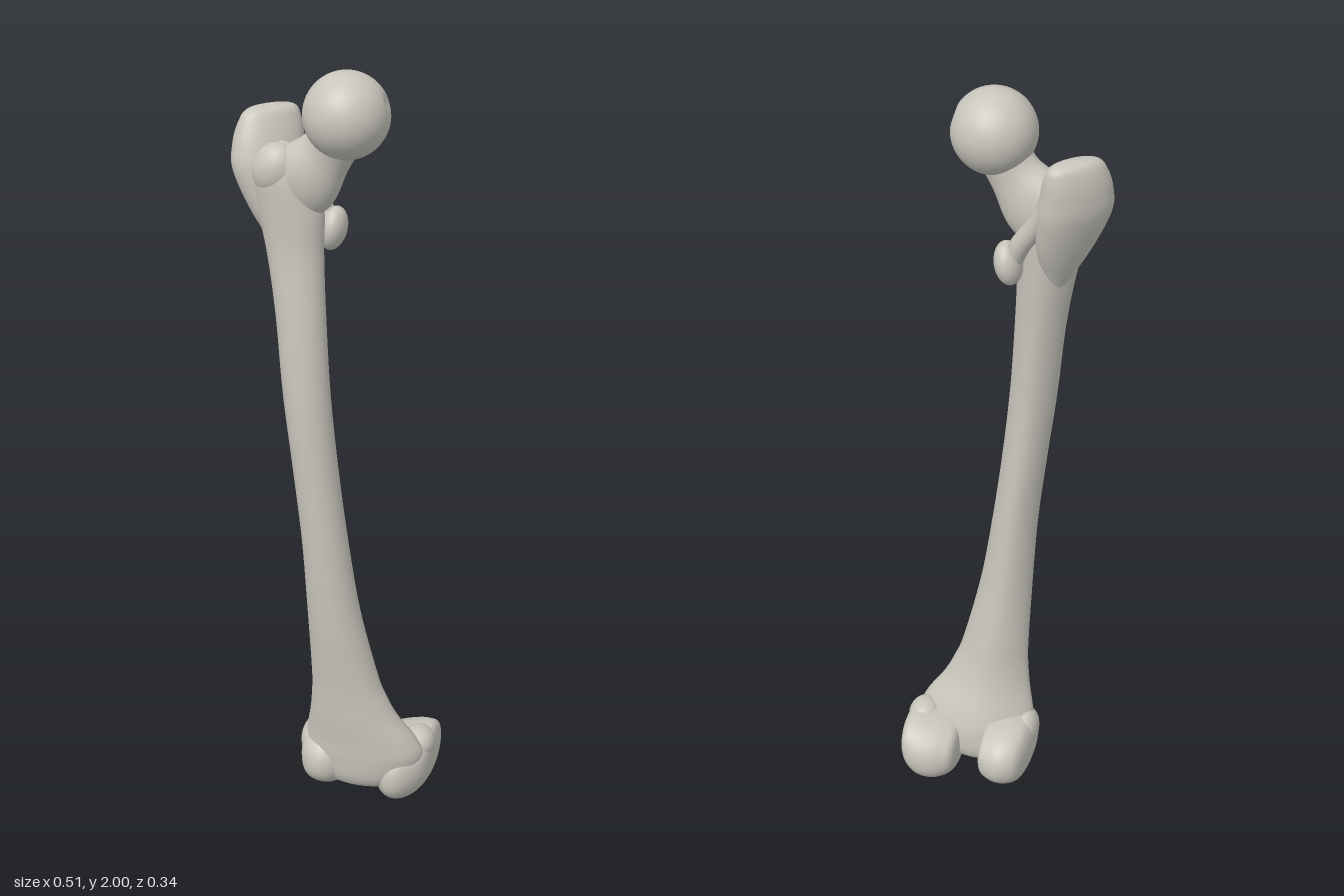
import * as THREE from 'three';
import { mergeVertices } from 'three/addons/utils/BufferGeometryUtils.js';

const bone = new THREE.MeshStandardMaterial({ color: 0xc8c5bc });
bone.name = 'bone';

// Smooth closed loft. Rows are [x, y, z, radius along u, radius along v]; u x v points along the rows.
// power squares the outline off; ridge pinches the -u side into a keel.
function loft(u, v, rows, { power = 2, ridge = 0, sides = 48, steps = 6 } = {}) {
  const centres = new THREE.CatmullRomCurve3(rows.map(r => new THREE.Vector3(r[0], r[1], r[2])), false, 'catmullrom');
  const sizes = new THREE.CatmullRomCurve3(rows.map(r => new THREE.Vector3(r[3], r[4], 0)), false, 'catmullrom');
  const count = (rows.length - 1) * steps;
  const positions = [], index = [];
  const round = t => Math.sign(t) * Math.abs(t) ** (2 / power);
  for (let i = 0; i <= count; i++) {
    const c = centres.getPoint(i / count), s = sizes.getPoint(i / count);
    for (let j = 0; j < sides; j++) {
      const a = (j / sides) * Math.PI * 2;
      const pinch = 1 - ridge * Math.max(0, -Math.cos(a));
      const p = c.clone()
        .addScaledVector(u, round(Math.cos(a)) * Math.max(s.x, 0.0005))
        .addScaledVector(v, round(Math.sin(a)) * Math.max(s.y, 0.0005) * pinch);
      positions.push(p.x, p.y, p.z);
      if (i < count) {
        const k = i * sides + j, n = i * sides + (j + 1) % sides;
        index.push(k, n, k + sides, n, n + sides, k + sides);
      }
    }
  }
  const g = new THREE.BufferGeometry();
  g.setAttribute('position', new THREE.Float32BufferAttribute(positions, 3));
  g.setIndex(index);
  g.computeVertexNormals();
  return g;
}

export function createModel() {
  const group = new THREE.Group();
  group.name = 'thighBone';
  const add = (name, geometry) => {
    const mesh = new THREE.Mesh(geometry, bone);
    mesh.name = name;
    group.add(mesh);
    return mesh;
  };
  const bump = (name, pos, radii, tilt = 0) => {
    const mesh = add(name, new THREE.SphereGeometry(1, 32, 24));
    mesh.position.set(...pos);
    mesh.scale.set(...radii);
    mesh.rotation.z = tilt;
  };
  const X = new THREE.Vector3(1, 0, 0), Y = new THREE.Vector3(0, 1, 0), Z = new THREE.Vector3(0, 0, 1);

  // Bowed shaft, flaring into the knee end, with a keel along its back
  add('shaft', loft(Z, X, [
    [0.06, 0.05, 0.0, 0.001, 0.001],
    [0.06, 0.057, 0.003, 0.06, 0.1],
    [0.065, 0.09, 0.005, 0.084, 0.14],
    [0.068, 0.15, 0.01, 0.088, 0.163],
    [0.064, 0.2, 0.018, 0.083, 0.153],
    [0.047, 0.27, 0.034, 0.073, 0.122],
    [0.036, 0.33, 0.043, 0.067, 0.104],
    [0.025, 0.4, 0.05, 0.065, 0.09],
    [0.0, 0.6, 0.068, 0.063, 0.07],
    [-0.02, 0.8, 0.077, 0.061, 0.06],
    [-0.043, 1.0, 0.08, 0.06, 0.058],
    [-0.065, 1.2, 0.079, 0.058, 0.06],
    [-0.083, 1.4, 0.065, 0.056, 0.063],
    [-0.1, 1.55, 0.05, 0.056, 0.071],
    [-0.112, 1.65, 0.045, 0.06, 0.083],
    [-0.13, 1.74, 0.042, 0.062, 0.09],
    [-0.14, 1.79, 0.036, 0.048, 0.075],
    [-0.14, 1.815, 0.03, 0.001, 0.001],
  ], { ridge: 0.22 }));

  // Neck leaning inward to the ball
  add('neck', loft(Z, new THREE.Vector3(0.76, -0.65, 0), [
    [-0.13, 1.66, 0.04, 0.04, 0.07],
    [-0.075, 1.735, 0.05, 0.056, 0.088],
    [-0.022, 1.8, 0.056, 0.05, 0.066],
    [0.006, 1.85, 0.063, 0.058, 0.068],
    [0.025, 1.885, 0.067, 0.08, 0.08],
  ]));

  // Ball with a shallow pit on its inner side
  const ball = new THREE.SphereGeometry(0.102, 72, 54);
  ball.deleteAttribute('uv');
  ball.deleteAttribute('normal');
  const head = mergeVertices(ball, 1e-5);
  const pit = new THREE.Vector3(0.94, 0.3, -0.12).normalize();
  const p = new THREE.Vector3(), pos = head.attributes.position;
  for (let i = 0; i < pos.count; i++) {
    p.fromBufferAttribute(pos, i);
    const angle = p.angleTo(pit);
    p.multiplyScalar(1 - 0.08 * Math.exp(-((angle / 0.17) ** 2)));
    pos.setXYZ(i, p.x, p.y, p.z);
  }
  head.computeVertexNormals();
  add('head', head).position.set(0.031, 1.898, 0.067);

  // Greater trochanter: a blade set diagonally on the outer side
  const a = -Math.PI / 4;
  add('greaterTrochanter', loft(
    new THREE.Vector3(Math.sin(a), 0, Math.cos(a)), new THREE.Vector3(Math.cos(a), 0, -Math.sin(a)), [
      [-0.13, 1.54, 0.03, 0.02, 0.02],
      [-0.15, 1.64, 0.02, 0.068, 0.045],
      [-0.173, 1.74, 0.01, 0.094, 0.058],
      [-0.18, 1.8, 0.002, 0.091, 0.054],
      [-0.18, 1.85, -0.008, 0.08, 0.042],
      [-0.178, 1.88, -0.014, 0.06, 0.027],
      [-0.177, 1.888, -0.016, 0.001, 0.001],
    ], { power: 2.2 }));
  bump('frontTubercle', [-0.145, 1.755, 0.065], [0.055, 0.065, 0.045], -0.4);

  // Lesser trochanter and the crest that joins the two
  bump('lesserTrochanter', [-0.022, 1.6, -0.003], [0.033, 0.055, 0.045], -0.2);
  add('crest', new THREE.TubeGeometry(new THREE.CatmullRomCurve3([
    new THREE.Vector3(-0.135, 1.8, -0.04),
    new THREE.Vector3(-0.095, 1.72, -0.022),
    new THREE.Vector3(-0.05, 1.65, -0.008),
    new THREE.Vector3(-0.025, 1.59, 0.005),
  ]), 24, 0.025, 16));

  // Rounded knee condyles
  add('rightCondyle', loft(Y, Z, [
    [-0.108, 0.125, -0.015, 0.001, 0.001],
    [-0.1, 0.12, -0.02, 0.05, 0.065],
    [-0.08, 0.115, -0.03, 0.081, 0.112],
    [-0.04, 0.115, -0.032, 0.09, 0.133],
    [0.0, 0.115, -0.035, 0.084, 0.122],
    [0.025, 0.12, -0.045, 0.062, 0.09],
    [0.035, 0.12, -0.05, 0.001, 0.001],
  ], { power: 2.2 }));
  add('leftCondyle', loft(Y, Z, [
    [0.09, 0.1, -0.05, 0.001, 0.001],
    [0.1, 0.1, -0.05, 0.06, 0.08],
    [0.13, 0.095, -0.04, 0.087, 0.118],
    [0.17, 0.097, -0.042, 0.096, 0.13],
    [0.21, 0.107, -0.055, 0.09, 0.113],
    [0.24, 0.125, -0.065, 0.062, 0.078],
    [0.253, 0.135, -0.068, 0.001, 0.001],
  ], { power: 2.2 }));
  bump('leftEpicondyle', [0.205, 0.165, -0.03], [0.045, 0.045, 0.055]);
  bump('rightEpicondyle', [-0.075, 0.15, 0.0], [0.035, 0.055, 0.06]);
  return group;
}
